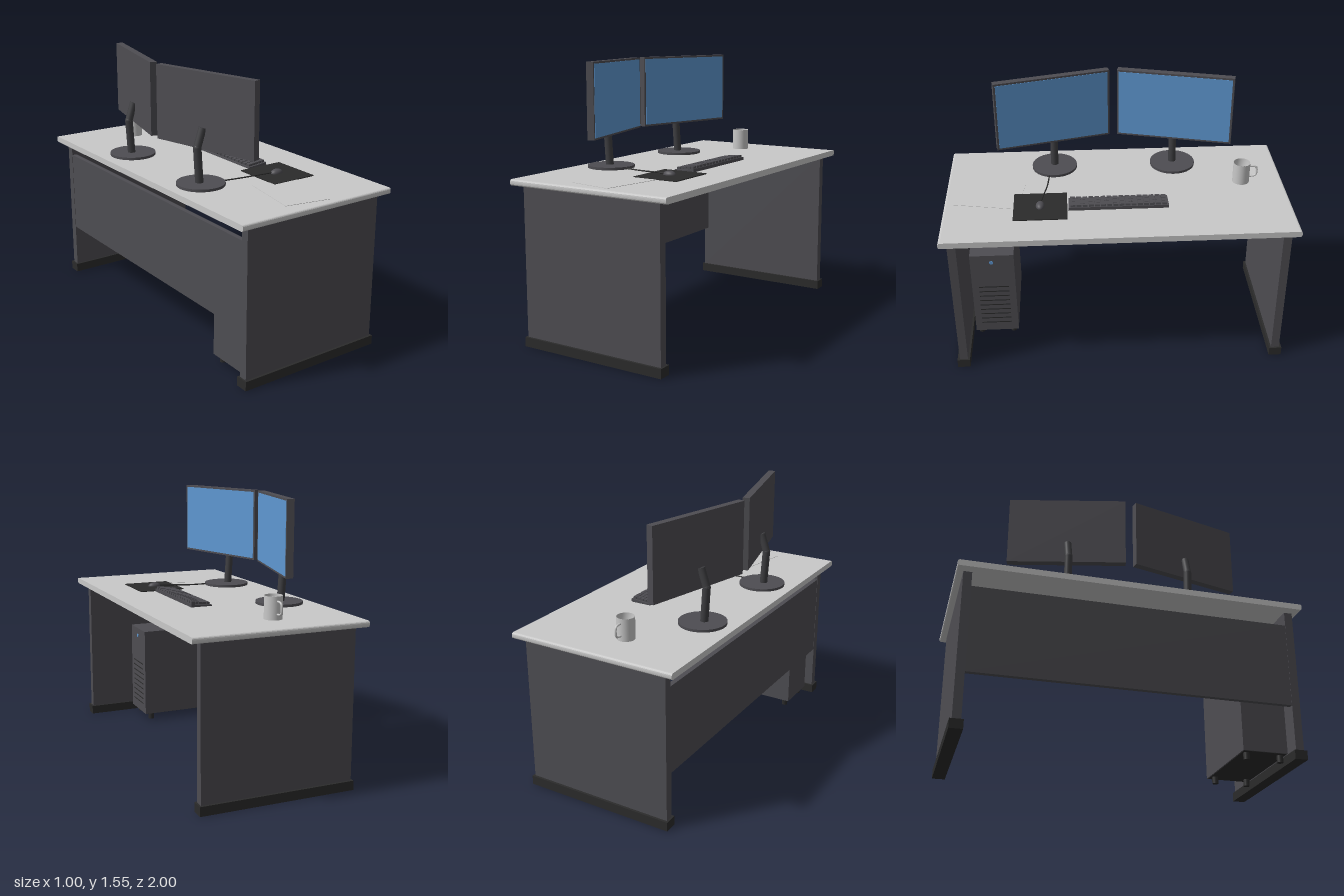
import * as THREE from 'three';

const mat = (name, color) => {
  const m = new THREE.MeshStandardMaterial({ color });
  m.name = name;
  return m;
};

export function createModel() {
  const light = mat('light grey', 0xc9c9c9);
  const grey = mat('dark grey', 0x4e4d52);
  const black = mat('near black', 0x2b2b2b);
  const pole = mat('pole grey', 0x3e3e41);
  const blue = mat('screen blue', 0x5f98d2);
  const desk = new THREE.Group();
  desk.name = 'officeDesk';

  const add = (parent, name, geo, material, x = 0, y = 0, z = 0) => {
    const mesh = new THREE.Mesh(geo, material);
    mesh.name = name;
    mesh.position.set(x, y, z);
    parent.add(mesh);
    return mesh;
  };
  // box given by its extents on each axis
  const box = (parent, name, material, [x0, x1], [y0, y1], [z0, z1]) =>
    add(parent, name, new THREE.BoxGeometry(x1 - x0, y1 - y0, z1 - z0), material,
      (x0 + x1) / 2, (y0 + y1) / 2, (z0 + z1) / 2);
  // straight rod between two points
  const rod = (parent, name, material, a, b, r) => {
    const d = b.clone().sub(a);
    const mesh = add(parent, name, new THREE.CylinderGeometry(r, r, d.length(), 14), material);
    mesh.position.copy(a).add(b).multiplyScalar(0.5);
    mesh.quaternion.setFromUnitVectors(new THREE.Vector3(0, 1, 0), d.normalize());
    return mesh;
  };
  const V = (x, y, z) => new THREE.Vector3(x, y, z);
  const TOP = 0.933;

  // Table top: profile with rounded ends, extruded across the depth
  const r = 0.014, y0 = 0.898;
  const s = new THREE.Shape();
  s.moveTo(-1 + r, y0).lineTo(1 - r, y0).quadraticCurveTo(1, y0, 1, y0 + r)
    .lineTo(1, TOP - r).quadraticCurveTo(1, TOP, 1 - r, TOP)
    .lineTo(-1 + r, TOP).quadraticCurveTo(-1, TOP, -1, TOP - r)
    .lineTo(-1, y0 + r).quadraticCurveTo(-1, y0, -1 + r, y0);
  const topGeo = new THREE.ExtrudeGeometry(s, { depth: 1, bevelEnabled: false, curveSegments: 4 });
  topGeo.translate(0, 0, -0.5).rotateY(Math.PI / 2);
  add(desk, 'tableTop', topGeo, light);

  // Side panels, floor rails and back panel
  for (const side of [-1, 1]) {
    const span = (a, b) => [Math.min(a * side, b * side), Math.max(a * side, b * side)];
    box(desk, 'sidePanel', grey, [-0.44, 0.44], [0.05, y0], span(0.914, 0.962));
    box(desk, 'floorRail', black, [-0.45, 0.45], [0, 0.053], span(0.902, 0.976));
  }
  box(desk, 'backPanel', grey, [-0.438, -0.41], [0.317, 0.815], [-0.915, 0.915]);

  // Computer tower under the desk
  const tower = new THREE.Group();
  tower.name = 'computerTower';
  desk.add(tower);
  box(tower, 'towerCase', grey, [-0.4, 0.165], [0.042, 0.605], [0.62, 0.882]);
  box(tower, 'towerBottom', black, [-0.395, 0.16], [0.04, 0.045], [0.625, 0.877]);
  for (const x of [0.115, -0.36])
    for (const z of [0.653, 0.852])
      add(tower, 'towerFoot', new THREE.CylinderGeometry(0.018, 0.018, 0.042, 16), black, x, 0.021, z);
  for (let i = 0; i < 9; i++)
    box(tower, 'ventSlot', black, [0.163, 0.166], [0.1 + i * 0.034, 0.107 + i * 0.034], [0.66, 0.842]);
  const lamp = add(tower, 'powerLight', new THREE.CylinderGeometry(0.012, 0.012, 0.004, 12), blue, 0.166, 0.555, 0.755);
  lamp.rotation.z = Math.PI / 2;

  // Two monitors on round stands, angled toward the middle
  for (const side of [-1, 1]) {
    const z = 0.362 * side;
    const monitor = new THREE.Group();
    monitor.name = side > 0 ? 'leftMonitor' : 'rightMonitor';
    desk.add(monitor);
    const head = new THREE.Group();
    head.name = 'monitorHead';
    head.position.set(-0.27, 1.341, z);
    head.rotation.y = side * 0.245;
    monitor.add(head);
    box(head, 'monitorCase', grey, [-0.021, 0.02], [-0.211, 0.211], [-0.345, 0.345]);
    box(head, 'screen', blue, [0.018, 0.022], [-0.2, 0.2], [-0.334, 0.334]);
    add(monitor, 'standBase', new THREE.CylinderGeometry(0.136, 0.136, 0.015, 40), grey, -0.305, TOP + 0.0075, z);
    const elbow = V(-0.328, 1.145, z);
    rod(monitor, 'standPole', pole, V(-0.315, TOP + 0.01, z), elbow, 0.023);
    rod(monitor, 'standArm', pole, elbow, V(-0.293, 1.25, z), 0.022);
    add(monitor, 'standElbow', new THREE.SphereGeometry(0.023, 14, 10), pole).position.copy(elbow);
  }

  // Keyboard: wedge body with rows of keys
  const keyboard = new THREE.Group();
  keyboard.name = 'keyboard';
  desk.add(keyboard);
  const w = new THREE.Shape();
  w.moveTo(0.083, TOP).lineTo(0.21, TOP).lineTo(0.21, 0.952).lineTo(0.083, 0.94).closePath();
  add(keyboard, 'keyboardBody', new THREE.ExtrudeGeometry(w, { depth: 0.575, bevelEnabled: false }), grey, 0, 0, -0.29);
  for (let row = 0; row < 5; row++)
    for (let col = 0; col < 16; col++) {
      const x = 0.103 + row * 0.0225;
      const key = add(keyboard, 'key', new THREE.BoxGeometry(0.0205, 0.014, 0.028), grey,
        x, 0.9475 + (x - 0.103) * 0.1, -0.265 + col * 0.035);
      key.rotation.z = 0.094;
    }

  // Mouse, mat and cable
  box(desk, 'mouseMat', black, [0.02, 0.3], [TOP, 0.938], [0.292, 0.6]);
  const mouse = add(desk, 'mouse',
    new THREE.SphereGeometry(1, 24, 8, 0, Math.PI * 2, 0, Math.PI / 2), grey, 0.157, 0.938, 0.447);
  mouse.scale.set(0.039, 0.024, 0.026);
  const cable = new THREE.CatmullRomCurve3([V(0.125, 0.944, 0.444), V(0.05, 0.942, 0.43),
    V(-0.06, 0.938, 0.408), V(-0.18, 0.94, 0.395)]);
  add(desk, 'mouseCable', new THREE.TubeGeometry(cable, 24, 0.004, 8), black);

  // Sheet of paper lying at an angle
  const paper = add(desk, 'paperSheet', new THREE.BoxGeometry(0.27, 0.002, 0.375), light, 0.012, TOP + 0.001, 0.743);
  paper.rotation.y = -0.18;

  // Mug with a handle toward the end of the desk
  const mug = new THREE.Group();
  mug.name = 'mug';
  mug.position.set(-0.065, TOP, -0.75);
  desk.add(mug);
  add(mug, 'mugWall', new THREE.CylinderGeometry(0.05, 0.05, 0.126, 32, 1, true), light, 0, 0.063, 0);
  add(mug, 'mugInside', new THREE.LatheGeometry([[0.05, 0.126], [0.047, 0.126], [0.047, 0.006], [0, 0.006]]
    .reverse().map(p => new THREE.Vector2(...p)), 32), mat('mug inside', 0xc9c9c9));
  mug.children[1].material.side = THREE.DoubleSide;
  const handle = new THREE.CatmullRomCurve3([V(0, 0.1, -0.046), V(0, 0.097, -0.08),
    V(0, 0.088, -0.09), V(0, 0.045, -0.09), V(0, 0.035, -0.08), V(0, 0.03, -0.046)]);
  add(mug, 'mugHandle', new THREE.TubeGeometry(handle, 28, 0.006, 8), light);

  return desk;
}
